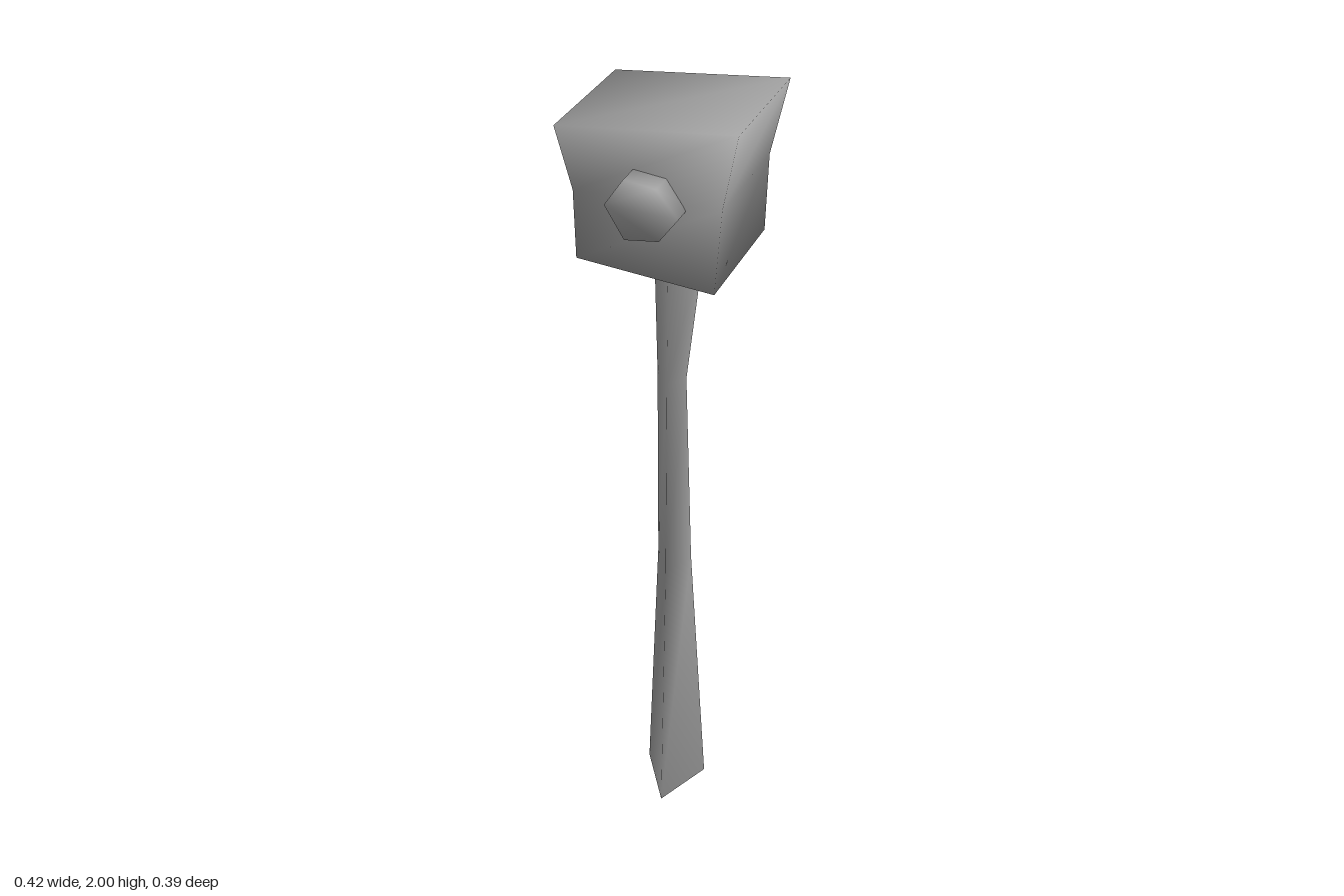
import * as THREE from 'three';

// Closed smooth skin over rings of points; rings run counterclockwise seen from the last one.
function loft(rings) {
  const n = rings[0].length, last = (rings.length - 1) * n, index = [];
  for (let r = 0; r < rings.length - 1; r++) {
    for (let j = 0; j < n; j++) {
      const a = r * n + j, b = r * n + (j + 1) % n;
      index.push(a, b, b + n, a, b + n, a + n);
    }
  }
  for (let j = 1; j < n - 1; j++) {
    index.push(0, j + 1, j);
    index.push(last, last + j, last + j + 1);
  }
  const geometry = new THREE.BufferGeometry();
  geometry.setAttribute('position', new THREE.Float32BufferAttribute(rings.flat(2), 3));
  geometry.setIndex(index);
  geometry.computeVertexNormals();
  return geometry;
}

export function createModel() {
  const group = new THREE.Group();
  const grey = new THREE.MeshStandardMaterial({ color: 0xa0a0a0 });
  grey.name = 'grey';
  const add = (name, rings) => {
    const mesh = new THREE.Mesh(loft(rings), grey);
    mesh.name = name;
    group.add(mesh);
  };

  // Crooked four-sided post with a narrow waist: height, x range, z range
  const section = [[0.576, 1], [1, 0.33], [0.18, 0], [0, 0.33]];
  const levels = [
    [0, -0.085, 0.08, -0.135, 0.09],
    [0.75, -0.048, 0.042, -0.083, 0.038],
    [1.28, -0.047, 0.027, -0.065, 0.007],
    [1.66, -0.056, 0.07, -0.092, 0.052],
  ];
  add('post', levels.map(([y, x0, x1, z0, z1]) =>
    section.map(([u, v]) => [x0 + u * (x1 - x0), y, z0 + v * (z1 - z0)])));

  // Pinched box head with slanted top and bottom: left and right edge, back and front
  const bands = [
    [-0.165, 1.655, 0.16, 1.625, -0.195, 0.145],
    [-0.175, 1.81, 0.17, 1.82, -0.183, 0.13],
    [-0.208, 1.96, 0.208, 2.0, -0.195, 0.145],
  ];
  add('head', bands.map(([x0, y0, x1, y1, z0, z1]) =>
    [[x0, y0, z1], [x1, y1, z1], [x1, y1, z0], [x0, y0, z0]]));

  // Uneven six-sided knob on the front; one corner is set back
  const outline = [[-0.075, 1.82], [-0.03, 1.745], [0.05, 1.755], [0.088, 1.805], [0.045, 1.875], [-0.03, 1.885]];
  add('knob', [
    outline.map(([x, y]) => [x, y, 0.11]),
    outline.map(([x, y]) => [x, y, x > 0.08 ? 0.175 : 0.192]),
  ]);

  return group;
}
